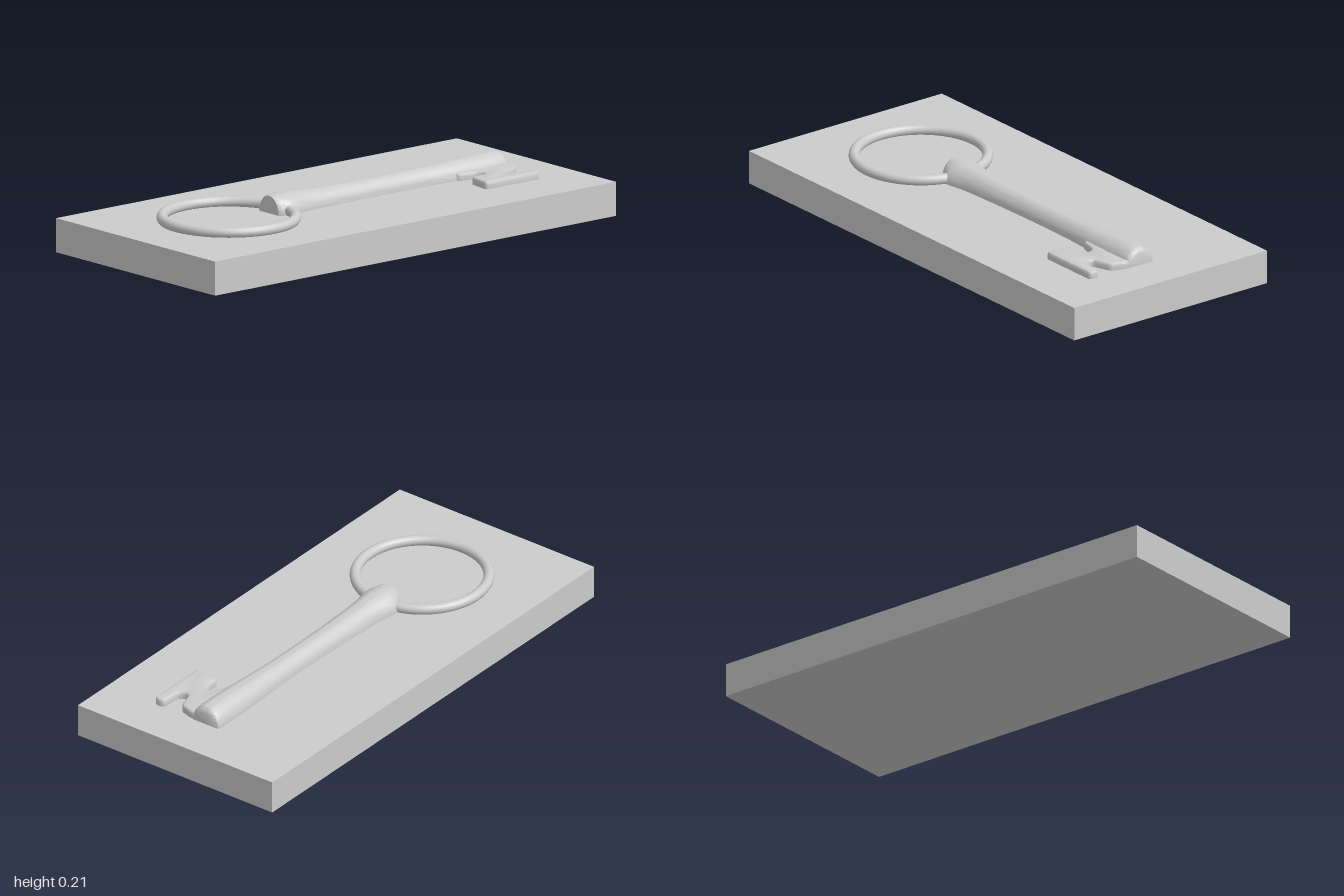
import * as THREE from 'three';
import { toCreasedNormals } from 'three/addons/utils/BufferGeometryUtils.js';

const TOP = 0.133; // upper face of the slab

// Half-round loft along x; each station is (x, half width, height above slab)
function loftHalfRound(stations, sides) {
  const pos = [], index = [];
  stations.forEach(({ x, y: w, z: h }) => {
    for (let j = 0; j <= sides; j++) {
      const t = (j / sides) * Math.PI;
      pos.push(x, TOP + h * Math.sin(t), w * Math.cos(t));
    }
  });
  const n = sides + 1;
  for (let i = 0; i < stations.length - 1; i++) {
    for (let j = 0; j < sides; j++) {
      const a = i * n + j, b = a + n;
      index.push(a, b, a + 1, b, b + 1, a + 1);
    }
  }
  const geo = new THREE.BufferGeometry();
  geo.setAttribute('position', new THREE.Float32BufferAttribute(pos, 3));
  geo.setIndex(index);
  return toCreasedNormals(geo, 0.6);
}

// Closed outline with each corner rounded by up to r
function roundedShape(points, r) {
  const p = points.map(([x, y]) => new THREE.Vector2(x, y));
  const shape = new THREE.Shape();
  p.forEach((c, i) => {
    const prev = p[(i + p.length - 1) % p.length], next = p[(i + 1) % p.length];
    const toward = (q) => c.clone().lerp(q, Math.min(0.45, r / c.distanceTo(q)));
    const a = toward(prev), b = toward(next);
    if (i === 0) shape.moveTo(a.x, a.y);
    else shape.lineTo(a.x, a.y);
    shape.quadraticCurveTo(c.x, c.y, b.x, b.y);
  });
  shape.closePath();
  return shape;
}

export function createModel() {
  const model = new THREE.Group();
  model.name = 'keyRelief';
  const material = new THREE.MeshStandardMaterial({ color: 0xcccccc });
  const add = (name, geometry, mat = material) => {
    const mesh = new THREE.Mesh(geometry, mat);
    mesh.name = name;
    model.add(mesh);
    return mesh;
  };

  // Slab
  add('slab', new THREE.BoxGeometry(2, TOP, 0.93)).position.y = TOP / 2;

  // Ring handle, partly sunk in the slab
  const ring = add('ring', new THREE.TorusGeometry(0.254, 0.021, 16, 72));
  ring.rotation.x = -Math.PI / 2;
  ring.position.set(-0.535, 0.149, 0);

  // Shaft: flares into the ring, narrows mid-length, swells at the tip
  const v = (x, w, h) => new THREE.Vector3(x, w, h);
  const body = new THREE.CatmullRomCurve3([
    v(-0.325, 0.064, 0.072), v(-0.285, 0.081, 0.074), v(-0.25, 0.078, 0.074),
    v(-0.19, 0.068, 0.071), v(-0.05, 0.061, 0.065), v(0.15, 0.056, 0.062),
    v(0.4, 0.056, 0.063), v(0.56, 0.063, 0.068), v(0.68, 0.067, 0.072),
    v(0.77, 0.067, 0.072), v(0.8, 0.066, 0.068),
  ]).getPoints(60);
  const stations = [
    v(-0.334, 0, 0), v(-0.334, 0.056, 0.068), ...body,
    v(0.811, 0.062, 0.058), v(0.815, 0.055, 0.048), v(0.815, 0, 0),
  ];
  const thin = material.clone();
  thin.side = THREE.DoubleSide;
  add('shaft', loftHalfRound(stations, 24), thin);

  // Notched bit beside the tip
  const outline = roundedShape([
    [0.54, 0.03], [0.55, 0.07], [0.625, 0.085], [0.645, 0.115], [0.625, 0.133],
    [0.558, 0.135], [0.543, 0.243], [0.815, 0.243], [0.815, 0.197], [0.725, 0.192],
    [0.713, 0.155], [0.795, 0.128], [0.813, 0.07], [0.813, 0.03],
  ], 0.018);
  const bevel = 0.011;
  const bit = new THREE.ExtrudeGeometry(outline, {
    depth: 0.03, curveSegments: 5, bevelEnabled: true, bevelSegments: 3,
    bevelSize: bevel, bevelThickness: bevel, bevelOffset: -bevel,
  });
  bit.rotateX(Math.PI / 2);
  bit.translate(0, 0.163 - bevel, 0);
  add('bit', toCreasedNormals(bit, 0.7));

  return model;
}
